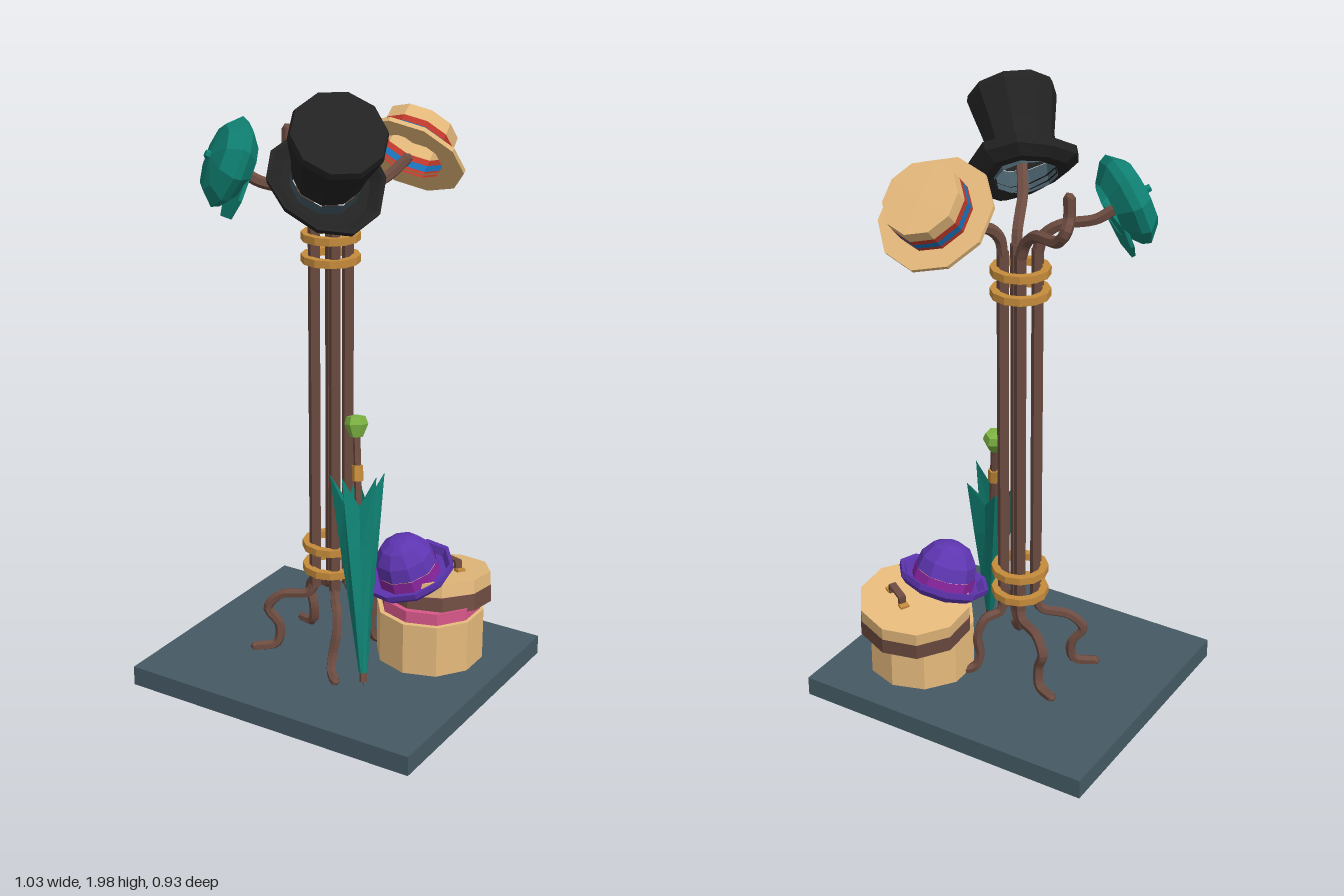
import * as THREE from 'three';

const WOOD = 0x6d4c41, BRASS = 0xc58b3b, SLATE = 0x455a64, STRAW = 0xe6ba7c, TEAL = 0x0f8072;
const BLACK = 0x222222, PURPLE = 0x5e35b1, MAGENTA = 0x8a249f, RED = 0xc0392b, BLUE = 0x1872b8;
const PINK = 0xd8588a, GREEN = 0x7cb342;

const mats = {};
const mat = (color) => mats[color] ??= new THREE.MeshStandardMaterial({ color, flatShading: true, side: THREE.DoubleSide });
const v = (a) => new THREE.Vector3(...a);

function add(parent, name, geometry, color, pos = [0, 0, 0]) {
  const mesh = new THREE.Mesh(geometry, mat(color));
  mesh.name = name;
  mesh.position.set(...pos);
  parent.add(mesh);
  return mesh;
}

// A turned surface from [radius, height] points
const turned = (points, sides = 10) => new THREE.LatheGeometry(points.map(p => new THREE.Vector2(...p)), sides);

// A group whose y points along axis and whose z leans towards front
function placed(parent, name, pos, axis, front = [0, 0, 1]) {
  const g = new THREE.Group();
  g.name = name;
  const y = v(axis).normalize();
  const x = y.clone().cross(v(front)).normalize();
  g.quaternion.setFromRotationMatrix(new THREE.Matrix4().makeBasis(x, y, x.clone().cross(y)));
  g.position.set(...pos);
  parent.add(g);
  return g;
}

function branch(parent, name, points, radius) {
  const curve = new THREE.CatmullRomCurve3(points.map(v), false, 'centripetal');
  add(parent, name, new THREE.TubeGeometry(curve, points.length * 4, radius, 6), WOOD);
  for (const p of [points[0], points.at(-1)])
    add(parent, name + 'End', new THREE.IcosahedronGeometry(radius, 0), WOOD, p);
}

function buildStand(root) {
  const stand = new THREE.Group();
  stand.name = 'stand';
  root.add(stand);
  // Each stem: pole position, arm path, leg path
  const stems = [
    { at: [-0.075, 0],
      arm: [[-0.09, 1.58, 0.005], [-0.14, 1.62, 0.02], [-0.24, 1.645, 0.055], [-0.29, 1.68, 0.08]],
      leg: [[-0.095, 0.275, 0.01], [-0.18, 0.26, 0.045], [-0.22, 0.21, 0.065], [-0.185, 0.15, 0.05], [-0.19, 0.085, 0.06], [-0.25, 0.072, 0.1]] },
    { at: [-0.06, -0.075],
      arm: [[-0.08, 1.58, -0.08], [-0.13, 1.62, -0.105], [-0.235, 1.64, -0.155], [-0.265, 1.68, -0.165], [-0.26, 1.71, -0.14], [-0.26, 1.77, -0.14]],
      leg: [[-0.075, 0.275, -0.085], [-0.15, 0.26, -0.12], [-0.185, 0.21, -0.14], [-0.165, 0.15, -0.13], [-0.175, 0.085, -0.14], [-0.23, 0.072, -0.16]] },
    { at: [0, 0],
      arm: [[0.005, 1.58, 0.015], [0.02, 1.62, 0.055], [0.045, 1.65, 0.11], [0.11, 1.74, 0.21]],
      leg: [[0.01, 0.28, 0.015], [0.045, 0.265, 0.06], [0.06, 0.2, 0.085], [0.055, 0.13, 0.1], [0.065, 0.085, 0.125], [0.1, 0.072, 0.16]] },
    { at: [0.002, -0.075],
      arm: [[0.005, 1.58, -0.085], [0.02, 1.62, -0.12], [0.055, 1.64, -0.21], [0.09, 1.69, -0.28]],
      leg: [[0.01, 0.28, -0.085], [0.04, 0.265, -0.125], [0.06, 0.2, -0.145], [0.055, 0.13, -0.14], [0.065, 0.085, -0.15], [0.1, 0.072, -0.18]] },
  ];
  for (const { at: [x, z], arm, leg } of stems) {
    add(stand, 'pole', new THREE.CylinderGeometry(0.0185, 0.0185, 1.24, 6), WOOD, [x, 0.92, z]);
    branch(stand, 'arm', [[x, 1.53, z], ...arm], 0.0185);
    branch(stand, 'leg', [[x, 0.31, z], ...leg], 0.0165);
  }
  // Square-section rings that bind the poles
  for (const y of [0.365, 0.445, 1.41, 1.48])
    add(stand, 'ring', turned([[0.068, -0.012], [0.093, -0.012], [0.093, 0.012], [0.068, 0.012], [0.068, -0.012]], 12), BRASS, [-0.042, y, -0.045]);
}

function buildTopHat(root) {
  const hat = placed(root, 'topHat', [0.075, 1.685, 0.18], [0.15, 0.205, 0.155]);
  const brim = turned([[0.1, -0.004], [0.14, -0.012], [0.178, 0.005], [0.184, 0.03], [0.172, 0.03], [0.14, 0.01], [0.1, 0.015]]);
  // Roll two opposite sides of the brim upwards
  const p = brim.attributes.position;
  for (let i = 0; i < p.count; i++) {
    const side = p.getZ(i);
    p.setY(i, p.getY(i) + side * side * 1.3);
    p.setZ(i, side * 0.92);
  }
  add(hat, 'topHatBrim', brim, BLACK);
  add(hat, 'topHatBand', turned([[0.1, -0.004], [0.102, 0.02], [0.107, 0.075]]), SLATE);
  add(hat, 'topHatCrown', turned([[0.104, 0.075], [0.115, 0.15], [0.143, 0.275], [0.137, 0.295], [0, 0.295]]), BLACK);
}

function buildBoater(root) {
  const hat = placed(root, 'boater', [0.095, 1.7, -0.285], [0, 0.69, -0.73]);
  add(hat, 'boaterBrim', turned([[0.112, -0.006], [0.182, -0.006], [0.182, 0.008], [0.112, 0.008]]), STRAW);
  const bands = [[0, 0.022, RED], [0.022, 0.045, BLUE], [0.045, 0.066, RED]];
  for (const [low, high, color] of bands)
    add(hat, 'boaterStripe', turned([[0.12, low], [0.12, high]]), color);
  add(hat, 'boaterCrown', turned([[0.12, 0.066], [0.118, 0.108], [0, 0.11]]), STRAW);
}

function buildCap(root) {
  const cap = placed(root, 'flatCap', [-0.285, 1.685, 0.075], [-0.62, 0.4, 0.67], [0.1, -1, 0.1]);
  add(cap, 'capCrown', turned([[0.085, -0.015], [0.135, 0.025], [0.145, 0.05], [0.105, 0.092], [0, 0.11]]), TEAL);
  add(cap, 'capButton', new THREE.CylinderGeometry(0.012, 0.014, 0.016, 6), TEAL, [0, 0.114, 0]);
  // Half-moon peak below the crown
  const peak = new THREE.Shape();
  peak.moveTo(-0.085, 0.03);
  peak.lineTo(-0.085, 0.1);
  peak.lineTo(-0.045, 0.16);
  peak.lineTo(0.045, 0.16);
  peak.lineTo(0.085, 0.1);
  peak.lineTo(0.085, 0.03);
  const geo = new THREE.ExtrudeGeometry(peak, { depth: 0.012, bevelEnabled: false });
  add(cap, 'capPeak', geo.rotateX(Math.PI / 2), TEAL, [0, 0, 0]);
}

function buildBowler(root) {
  const hat = placed(root, 'bowler', [0.205, 0.352, -0.135], [-0.16, 1, 0.3]);
  add(hat, 'bowlerBrim', turned([[0.1, -0.012], [0.13, -0.01], [0.152, 0.012], [0.154, 0.032], [0.142, 0.03], [0.125, 0.008], [0.1, 0.006]]), PURPLE);
  add(hat, 'bowlerBand', turned([[0.106, -0.008], [0.104, 0.045]]), MAGENTA);
  add(hat, 'bowlerDome', turned([[0.102, 0.045], [0.094, 0.09], [0.065, 0.13], [0.03, 0.147], [0, 0.15]]), PURPLE);
}

function buildHatBox(root) {
  const box = new THREE.Group();
  box.name = 'hatBox';
  root.add(box);
  add(box, 'boxBody', new THREE.CylinderGeometry(0.178, 0.178, 0.175, 10), STRAW, [0.252, 0.155, -0.188]);
  add(box, 'boxLining', new THREE.CylinderGeometry(0.165, 0.165, 0.045, 10), PINK, [0.252, 0.26, -0.192]);
  const lid = placed(box, 'boxLid', [0.25, 0.245, -0.228], [-0.1, 1, -0.13]);
  add(lid, 'lidBand', turned([[0.172, 0.05], [0.172, 0], [0.186, 0], [0.186, 0.055]]), WOOD);
  add(lid, 'lidTop', new THREE.CylinderGeometry(0.184, 0.184, 0.045, 10), STRAW, [0, 0.0775, 0]);
  // Carrying strap
  const strap = new THREE.Group();
  strap.name = 'lidStrap';
  strap.position.set(0.045, 0.1, -0.035);
  strap.rotation.y = -0.5;
  lid.add(strap);
  add(strap, 'strapTop', new THREE.BoxGeometry(0.075, 0.01, 0.024), WOOD, [0, 0.03, 0]);
  for (const s of [-1, 1]) {
    add(strap, 'strapLeg', new THREE.BoxGeometry(0.01, 0.034, 0.024), WOOD, [s * 0.035, 0.015, 0]);
    add(strap, 'strapFoot', new THREE.BoxGeometry(0.024, 0.008, 0.03), BRASS, [s * 0.046, 0.004, 0]);
  }
}

function buildUmbrella(root) {
  const u = placed(root, 'umbrella', [0.195, 0.068, 0.14], [-0.14, 0.82, -0.18]);
  add(u, 'umbrellaShaft', new THREE.CylinderGeometry(0.012, 0.012, 0.8, 6), WOOD, [0, 0.42, 0]);
  add(u, 'umbrellaTip', new THREE.ConeGeometry(0.014, 0.08, 6).rotateX(Math.PI), WOOD, [0, 0.04, 0]);
  add(u, 'umbrellaCollar', new THREE.CylinderGeometry(0.018, 0.018, 0.05, 6), BRASS, [0, 0.69, 0]);
  add(u, 'umbrellaKnob', turned([[0, -0.04], [0.02, -0.035], [0.038, 0.005], [0.03, 0.03], [0, 0.036]], 6), GREEN, [0, 0.84, 0]);
  // Folded canopy: ribs end in points, the cloth between them is drawn in
  const canopy = new THREE.CylinderGeometry(0.08, 0.014, 0.6, 10, 3, true);
  const p = canopy.attributes.position;
  for (let i = 0; i < p.count; i++) {
    const t = p.getY(i) / 0.6 + 0.5, rib = (i % 11) % 2 === 0;
    const s = rib ? 1 + 0.15 * t : 1 - 0.4 * t;
    p.setXYZ(i, p.getX(i) * s, p.getY(i) + (t > 0.99 ? (rib ? 0.035 : -0.06) : 0), p.getZ(i) * s);
  }
  add(u, 'umbrellaCanopy', canopy, TEAL, [0, 0.35, 0]);
}

export function createModel() {
  const root = new THREE.Group();
  root.name = 'hatStand';
  add(root, 'base', new THREE.BoxGeometry(1.03, 0.065, 0.89), SLATE, [0, 0.0325, -0.03]);
  for (const build of [buildStand, buildTopHat, buildBoater, buildCap, buildBowler, buildHatBox, buildUmbrella]) build(root);
  return root;
}
